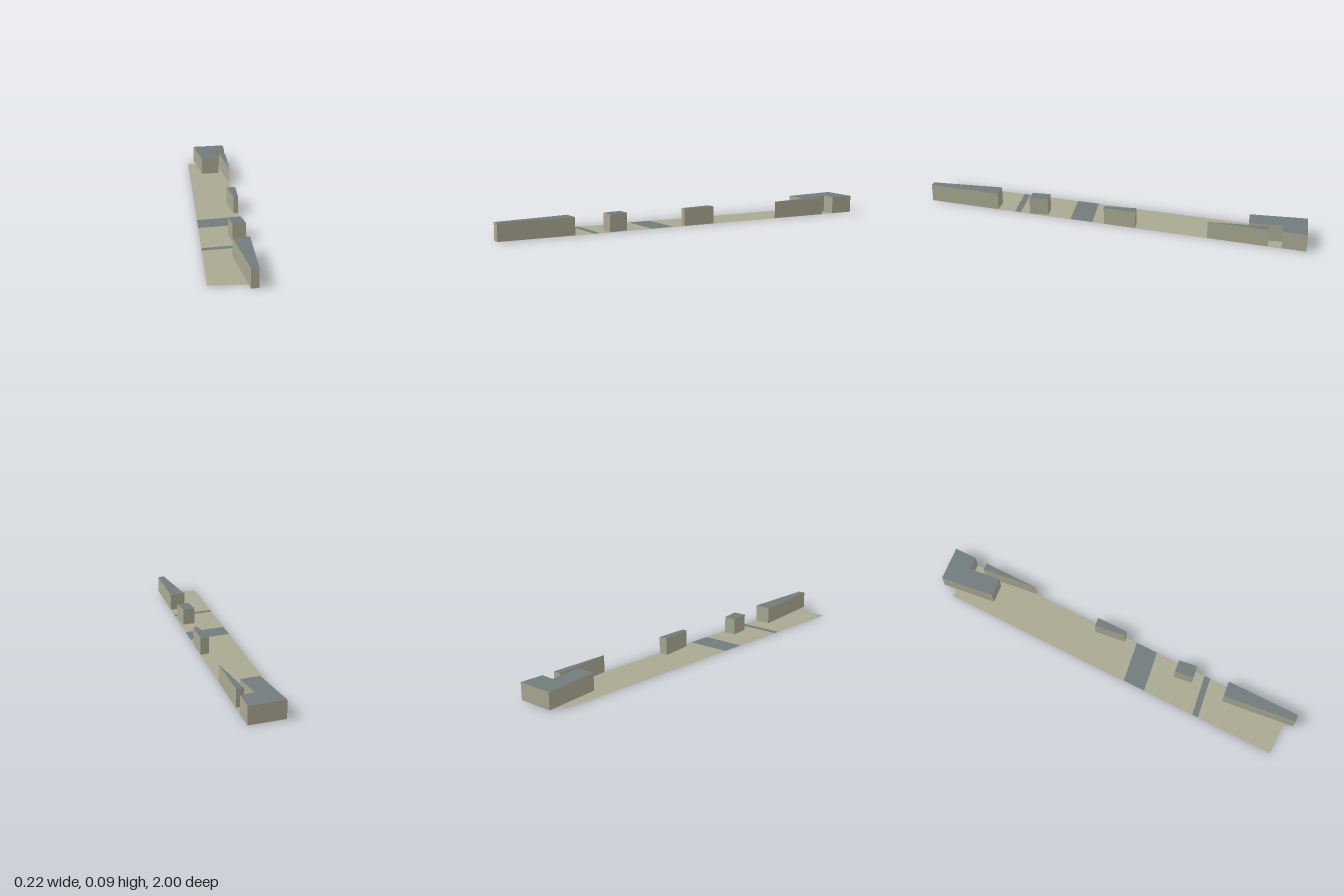
import * as THREE from 'three';

export function createModel() {
  const group = new THREE.Group();
  const mat = (name, color, side = THREE.FrontSide) => {
    const m = new THREE.MeshStandardMaterial({ color, side });
    m.name = name;
    return m;
  };
  const stone = mat('warm stone', 0xa9a892, THREE.DoubleSide);
  const slate = mat('slate grey', 0x717c7d, THREE.DoubleSide);

  // Plan outlines are given as [x, z] corners
  const plan = (pts) => new THREE.Shape(pts.map(([x, z]) => new THREE.Vector2(x, -z)));
  const add = (name, geometry, material, y) => {
    const mesh = new THREE.Mesh(geometry.rotateX(-Math.PI / 2), material);
    mesh.name = name;
    mesh.position.y = y;
    group.add(mesh);
  };
  const flat = (name, pts, material, y) => add(name, new THREE.ShapeGeometry(plan(pts)), material, y);
  // Block with slate roof and base, stone walls
  const block = (name, pts) => add(name,
    new THREE.ExtrudeGeometry(plan(pts), { depth: 0.089, bevelEnabled: false }), [slate, stone], 0.001);

  // Ground strip and the two roads crossing it
  flat('ground', [[-0.109, -0.905], [0.109, -0.905], [0.109, 0.955], [-0.109, 0.955]], stone, 0);
  flat('wideRoad', [[-0.109, 0.125], [0.109, 0.09], [0.109, 0.209], [-0.109, 0.243]], slate, 0.0015);
  flat('narrowRoad', [[-0.109, 0.52], [0.109, 0.485], [0.109, 0.518], [-0.109, 0.552]], slate, 0.0015);

  // Buildings, back to front, cut off along the left edge of the strip
  block('cornerBuilding', [[-0.073, -0.978], [0.109, -1], [0.109, -0.88], [0.04, -0.872],
    [0.061, -0.706], [-0.037, -0.694]]);
  block('wedgeBuilding', [[0.071, -0.808], [0.109, -0.813], [0.109, -0.51]]);
  block('middleBuilding', [[0.063, -0.133], [0.109, -0.139], [0.109, 0.028], [0.085, 0.031]]);
  block('smallBuilding', [[0.031, 0.346], [0.094, 0.338], [0.109, 0.433], [0.044, 0.442]]);
  block('longBuilding', [[0.027, 0.623], [0.109, 0.613], [0.109, 0.995], [0.073, 1]]);

  return group;
}
